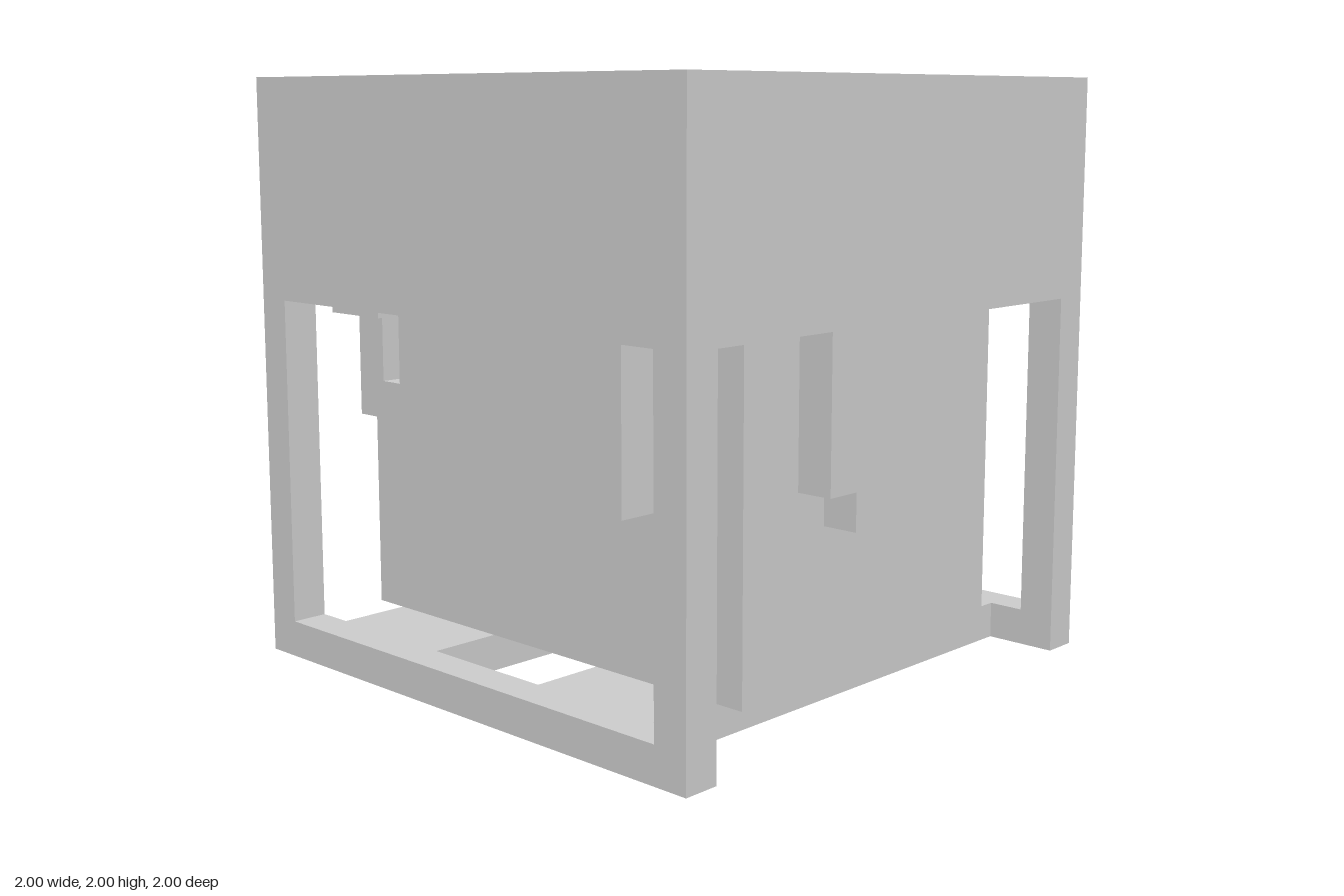
import * as THREE from 'three';

const material = new THREE.MeshStandardMaterial({ color: 0xcccccc });

// Box given by its minimum and maximum corners
function box(parent, name, [x0, y0, z0], [x1, y1, z1]) {
  const mesh = new THREE.Mesh(new THREE.BoxGeometry(x1 - x0, y1 - y0, z1 - z0), material);
  mesh.position.set((x0 + x1) / 2, (y0 + y1) / 2, (z0 + z1) / 2);
  mesh.name = name;
  parent.add(mesh);
  return mesh;
}

// Square pipe dropping from the ceiling, with a flange plate at its top
function dropPipe(parent, x, z, bottom) {
  const r = 0.0625, f = 0.125;
  box(parent, 'ceilingFlange', [x - f, 1.22, z - f], [x + f, 1.25, z + f]);
  box(parent, 'verticalPipe', [x - r, bottom, z - r], [x + r, 1.22, z + r]);
}

export function createModel() {
  const model = new THREE.Group();
  model.name = 'machineBlock';

  // Solid upper housing and the recessed core below it
  box(model, 'upperHousing', [-1, 1.25, -1], [1, 2, 1]);
  box(model, 'core', [-0.875, 0.125, -0.625], [0.875, 1.25, 0.625]);

  // Corner posts, front and back sills
  for (const sz of [-1, 1]) {
    const z0 = sz > 0 ? 0.875 : -1;
    box(model, 'sill', [-1, 0, z0], [1, 0.125, z0 + 0.125]);
    for (const x0 of [-1, 0.875]) {
      box(model, 'cornerPost', [x0, 0.125, z0], [x0 + 0.125, 1.25, z0 + 0.125]);
    }
  }

  // Floor: two panels with an open slot between them and open side gaps
  for (const x0 of [-0.75, 0.25]) {
    box(model, 'floorPanel', [x0, 0, -0.875], [x0 + 0.5, 0.125, 0.875]);
  }

  // Stepped aprons hanging on the left and right sides
  const apron = new THREE.Shape([
    [-0.375, 1.25], [-0.375, 0.75], [-0.25, 0.75], [-0.25, 0.625],
    [0.25, 0.625], [0.25, 0.75], [0.375, 0.75], [0.375, 1.25],
  ].map(([z, y]) => new THREE.Vector2(z, y)));
  const apronGeometry = new THREE.ExtrudeGeometry(apron, { depth: 0.125, bevelEnabled: false });
  for (const side of [-1, 1]) {
    const mesh = new THREE.Mesh(apronGeometry, material);
    mesh.name = side > 0 ? 'leftApron' : 'rightApron';
    mesh.rotation.y = side * Math.PI / 2;
    mesh.position.x = side * 0.875;
    model.add(mesh);
  }

  // Front box hanging from the housing
  box(model, 'frontBox', [-0.25, 0.75, 0.625], [0.75, 1.25, 1]);

  // Front pipe: ceiling to the side of the front box
  const frontPipe = new THREE.Group();
  frontPipe.name = 'frontPipe';
  dropPipe(frontPipe, -0.5625, 0.8125, 0.875);
  box(frontPipe, 'horizontalPipe', [-0.5, 0.875, 0.75], [-0.28, 1, 0.875]);
  box(frontPipe, 'wallFlange', [-0.28, 0.8125, 0.6875], [-0.25, 1.0625, 0.9375]);
  model.add(frontPipe);

  // Back pipes: ceiling to the back of the core
  for (const [x, y] of [[0.4375, 0.75], [0.0625, 0.5]]) {
    const pipe = new THREE.Group();
    pipe.name = 'backPipe';
    dropPipe(pipe, x, -0.8125, y);
    box(pipe, 'horizontalPipe', [x - 0.0625, y, -0.75], [x + 0.0625, y + 0.125, -0.655]);
    box(pipe, 'wallFlange', [x - 0.125, y - 0.0625, -0.655], [x + 0.125, y + 0.1875, -0.625]);
    model.add(pipe);
  }

  return model;
}
